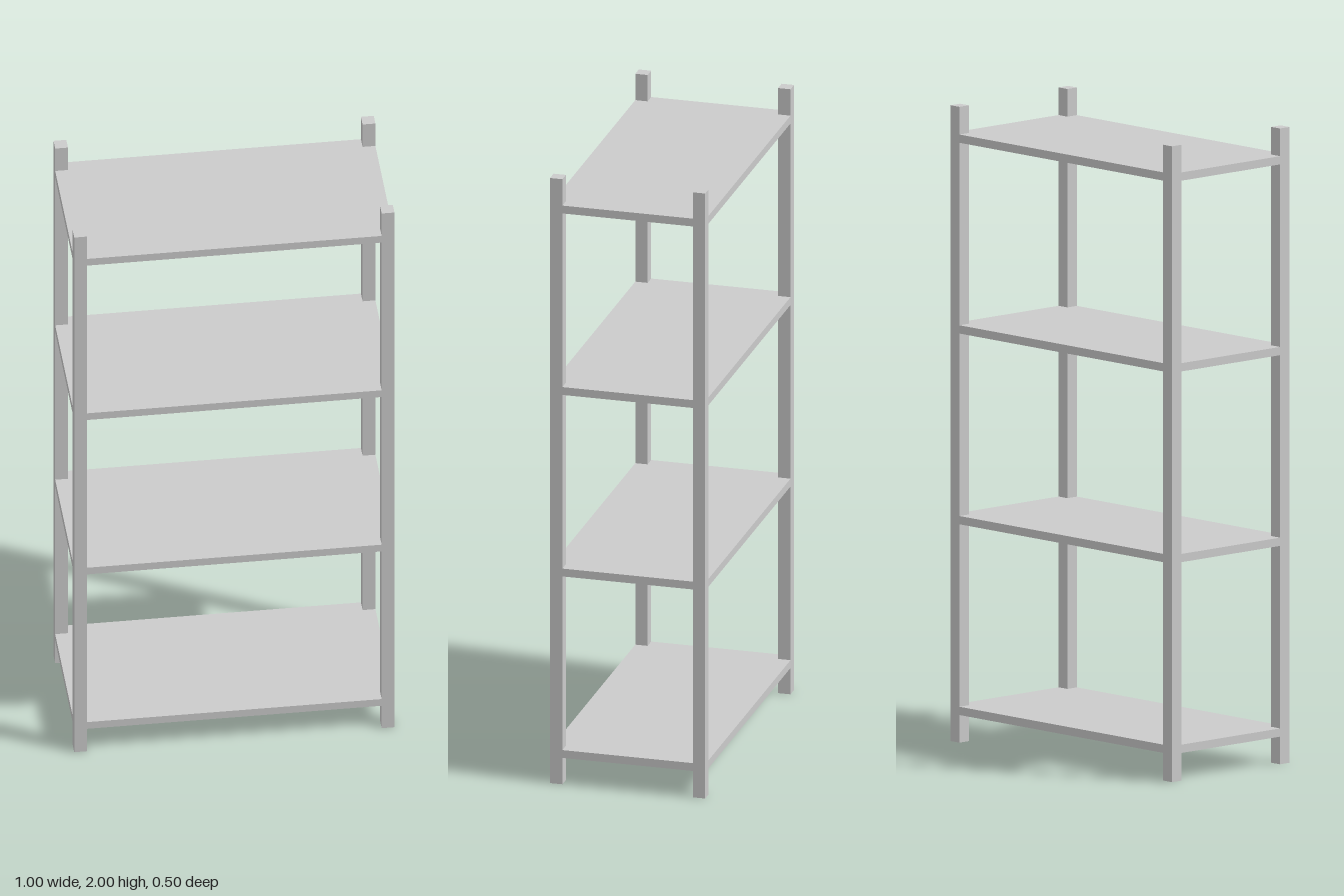
import * as THREE from 'three';

const W = 0.5, D = 0.25;      // half width and half depth
const POST = 0.04, HEIGHT = 2, THICK = 0.026;

export function createModel() {
  const group = new THREE.Group();
  group.name = 'shelvingUnit';
  const material = new THREE.MeshStandardMaterial({ color: 0xcccccc });

  // Four square corner posts
  const postGeometry = new THREE.BoxGeometry(POST, HEIGHT, POST);
  for (const [sx, side] of [[1, 'Left'], [-1, 'Right']]) {
    for (const [sz, end] of [[1, 'front'], [-1, 'back']]) {
      const post = new THREE.Mesh(postGeometry, material);
      post.name = `${end}${side}Post`;
      post.position.set(sx * (W - POST / 2), HEIGHT / 2, sz * (D - POST / 2));
      group.add(post);
    }
  }

  // Shelf board, flush with the posts and notched around them
  const w = W - POST, d = D - POST;
  const outline = new THREE.Shape([
    [w, -D], [w, -d], [W, -d], [W, d], [w, d], [w, D],
    [-w, D], [-w, d], [-W, d], [-W, -d], [-w, -d], [-w, -D],
  ].map(([x, y]) => new THREE.Vector2(x, y)));
  const shelfGeometry = new THREE.ExtrudeGeometry(outline, { depth: THICK, bevelEnabled: false });
  shelfGeometry.translate(0, 0, -THICK / 2).rotateX(-Math.PI / 2);

  // Four evenly spaced shelves
  for (let i = 0; i < 4; i++) {
    const shelf = new THREE.Mesh(shelfGeometry, material);
    shelf.name = `shelf${i + 1}`;
    shelf.position.y = 0.1 + 0.6 * i;
    group.add(shelf);
  }
  return group;
}
